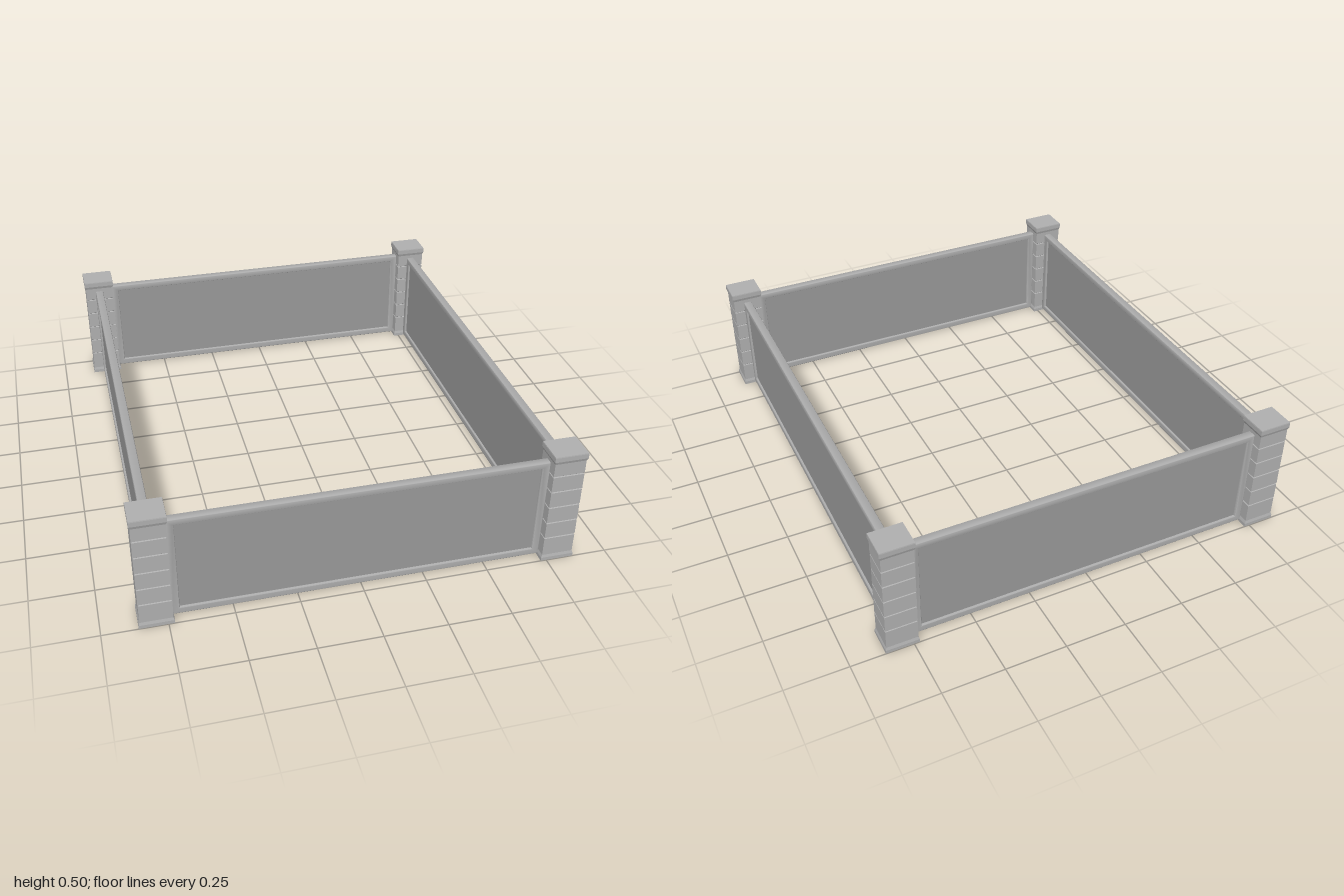
import * as THREE from 'three';
import { toCreasedNormals } from 'three/addons/utils/BufferGeometryUtils.js';

const postMaterial = new THREE.MeshStandardMaterial({ color: 0xaeaeae, flatShading: true });
const frameMaterial = new THREE.MeshStandardMaterial({ color: 0xaaaaaa });
const panelMaterial = new THREE.MeshStandardMaterial({ color: 0x989898 });

// Square post turned from a stepped profile: flared foot, brick courses, cap
function postGeometry() {
  const profile = [[0, 0], [0.99, 0], [0.99, 0.014], [0.93, 0.026]];
  for (const joint of [0.109, 0.183, 0.257, 0.331, 0.403]) {
    profile.push([0.93, joint - 0.003], [0.875, joint], [0.935, joint + 0.003]);
  }
  profile.push([0.93, 0.462], [1, 0.474], [1, 0.493], [0.985, 0.497], [0, 0.497]);
  const points = profile.map(([r, y]) => new THREE.Vector2(r * Math.SQRT2, y));
  const geometry = new THREE.LatheGeometry(points, 4, Math.PI / 4).toNonIndexed();
  geometry.scale(0.068, 1, 0.0585);
  geometry.computeVertexNormals();
  return geometry;
}

function rectangle(Type, halfWidth, bottom, top) {
  const path = new Type();
  path.moveTo(-halfWidth, bottom);
  path.lineTo(halfWidth, bottom);
  path.lineTo(halfWidth, top);
  path.lineTo(-halfWidth, top);
  path.closePath();
  return path;
}

// Softly rounded frame around a thinner recessed panel
function createWall(name, length) {
  const wall = new THREE.Group();
  wall.name = name;
  const half = length / 2, bevel = 0.006, depth = 0.036;
  const shape = rectangle(THREE.Shape, half - bevel, 0.005 + bevel, 0.447 - bevel);
  shape.holes.push(rectangle(THREE.Path, half - 0.026, 0.029, 0.426));
  const frameGeometry = new THREE.ExtrudeGeometry(shape, {
    depth: depth - 2 * bevel, bevelEnabled: true, bevelSize: bevel, bevelThickness: bevel, bevelSegments: 4
  });
  frameGeometry.translate(0, 0, -depth / 2 + bevel);
  const frame = new THREE.Mesh(toCreasedNormals(frameGeometry, 0.7), frameMaterial);
  frame.name = name + 'Frame';

  const panel = new THREE.Mesh(new THREE.BoxGeometry(length - 0.03, 0.416, 0.018), panelMaterial);
  panel.position.y = 0.226;
  panel.name = name + 'Panel';
  wall.add(frame, panel);
  return wall;
}

export function createModel() {
  const model = new THREE.Group();
  model.name = 'raisedBed';

  // Corner posts
  const geometry = postGeometry();
  for (const [sx, side] of [[1, 'Left'], [-1, 'Right']]) {
    for (const [sz, end] of [[1, 'front'], [-1, 'back']]) {
      const post = new THREE.Mesh(geometry, postMaterial);
      post.name = end + side + 'Post';
      post.position.set(sx * 0.794, 0, sz * 0.9415);
      model.add(post);
    }
  }

  // Long and short walls between the posts
  for (const [s, end, side] of [[1, 'front', 'left'], [-1, 'back', 'right']]) {
    const endWall = createWall(end + 'Wall', 1.466);
    endWall.position.z = s * 0.9415;
    const sideWall = createWall(side + 'Wall', 1.78);
    sideWall.position.x = s * 0.794;
    sideWall.rotation.y = s * Math.PI / 2;
    model.add(endWall, sideWall);
  }
  return model;
}
